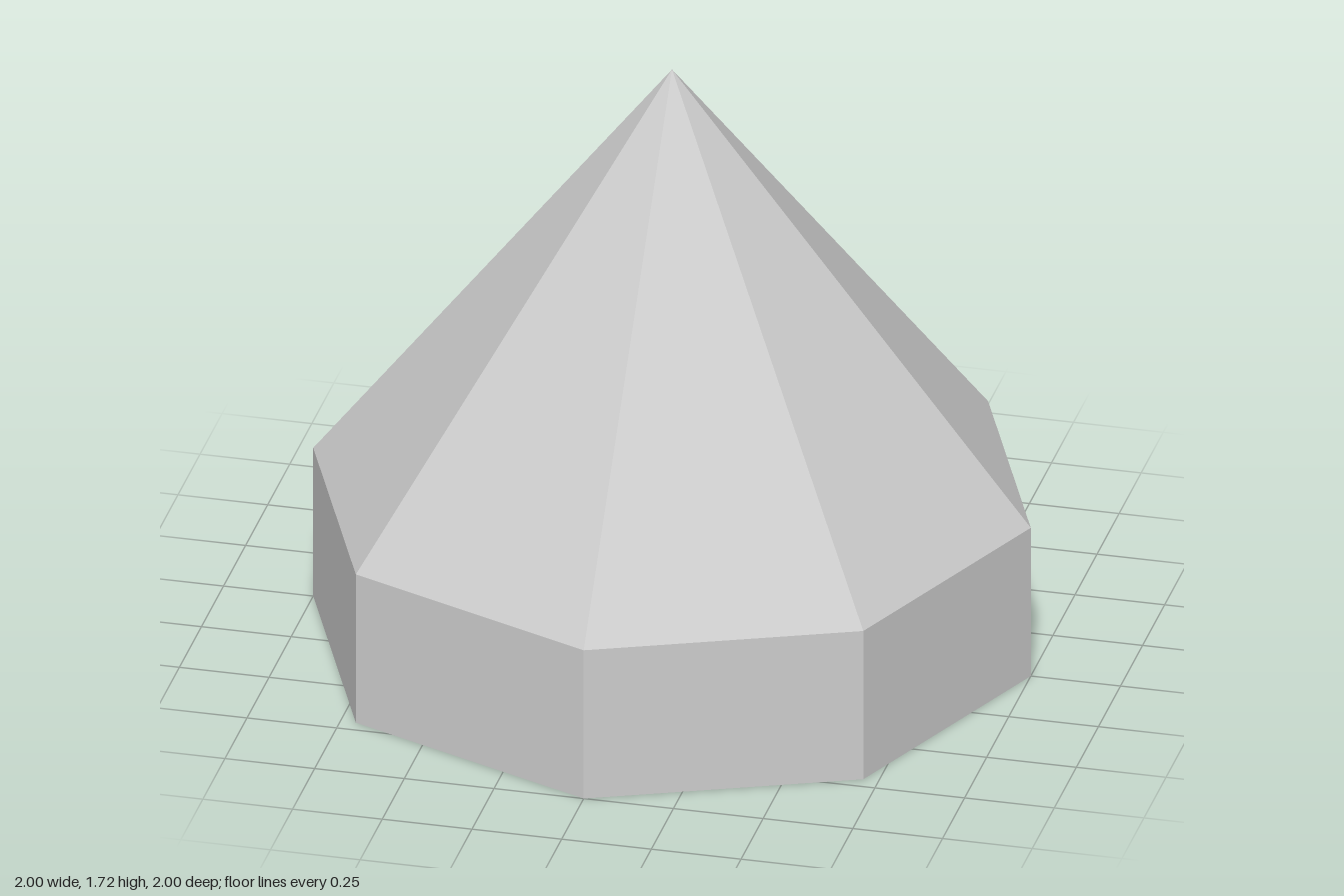
import * as THREE from 'three';
import { mergeVertices } from 'three/addons/utils/BufferGeometryUtils.js';

const SIDES = 8;
const RADIUS = 1;
const BASE_HEIGHT = 0.45;
const TOTAL_HEIGHT = 1.72;

export function createModel() {
  const model = new THREE.Group();
  model.name = 'octagonalSpire';
  const material = new THREE.MeshStandardMaterial({ color: 0xcccccc, flatShading: true });

  // Open octagonal wall between two heights, with a corner on each axis
  const addTier = (name, topRadius, y0, y1) => {
    const geometry = new THREE.CylinderGeometry(topRadius, RADIUS, y1 - y0, SIDES, 1, true);
    const mesh = new THREE.Mesh(geometry, material);
    mesh.name = name;
    mesh.position.y = (y0 + y1) / 2;
    model.add(mesh);
  };

  // Upright base wall and the pointed roof above it
  addTier('baseWall', RADIUS, 0, BASE_HEIGHT);
  addTier('pointedRoof', 0, BASE_HEIGHT, TOTAL_HEIGHT);

  // Flat underside, facing down
  const floorGeometry = mergeVertices(new THREE.CircleGeometry(RADIUS, SIDES));
  const floor = new THREE.Mesh(floorGeometry, material);
  floor.name = 'underside';
  floor.rotation.x = Math.PI / 2;
  model.add(floor);

  return model;
}
